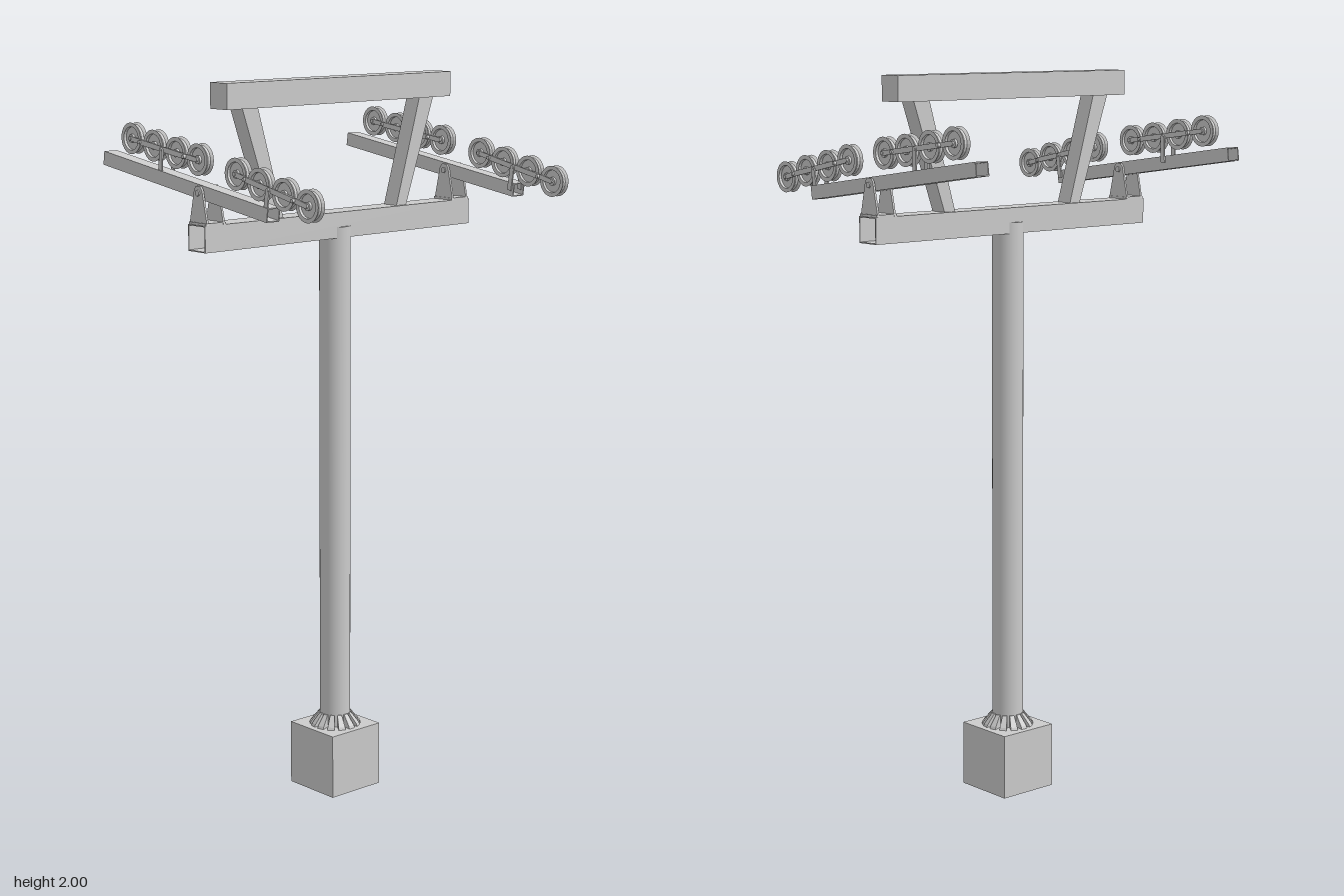
import * as THREE from 'three';

const grey = new THREE.MeshStandardMaterial({ color: 0xcccccc, side: THREE.DoubleSide });
const ZC = -0.01; // depth of the mast axis

function add(parent, name, geometry, x = 0, y = 0, z = 0) {
  const mesh = new THREE.Mesh(geometry, grey);
  mesh.name = name;
  mesh.position.set(x, y, z);
  parent.add(mesh);
  return mesh;
}

function polygon(points) {
  return new THREE.Shape(points.map(([a, b]) => new THREE.Vector2(a, b)));
}

// Extrusion along z, centred on its depth
function slab(shape, depth) {
  const g = new THREE.ExtrudeGeometry(shape, { depth, bevelEnabled: false });
  return g.translate(0, 0, -depth / 2);
}

// Open rectangular tube running along z
function hollowBeam(w, h, length, wall = 0.003) {
  const rect = (a, b) => [[-a, -b], [a, -b], [a, b], [-a, b]];
  const shape = polygon(rect(w / 2, h / 2));
  shape.holes.push(polygon(rect(w / 2 - wall, h / 2 - wall)));
  return slab(shape, length);
}

// Place a z-running geometry between two [z, y] points
function span(parent, name, make, x, [z0, y0], [z1, y1]) {
  const mesh = add(parent, name, make(Math.hypot(z1 - z0, y1 - y0)), x, (y0 + y1) / 2, (z0 + z1) / 2);
  mesh.rotation.x = -Math.atan2(y1 - y0, z1 - z0);
  return mesh;
}

const pinGeometry = (r, length) => new THREE.CylinderGeometry(r, r, length, 12).rotateZ(Math.PI / 2);

// Grooved wheel: hub, recessed web, flanged rim
const wheelProfile = [
  [0.001, -0.011], [0.011, -0.011], [0.011, -0.004], [0.03, -0.004], [0.031, -0.011], [0.042, -0.011],
  [0.037, -0.004], [0.037, 0.004], [0.042, 0.011], [0.031, 0.011], [0.03, 0.004], [0.011, 0.004],
  [0.011, 0.011], [0.001, 0.011],
].map(([r, h]) => new THREE.Vector2(r, h));
const wheelGeometry = new THREE.LatheGeometry(wheelProfile, 24).rotateZ(Math.PI / 2).toNonIndexed();
wheelGeometry.computeVertexNormals();

const lerp = (a, b, t) => [a[0] + (b[0] - a[0]) * t, a[1] + (b[1] - a[1]) * t];

// Four wheels on two small rockers, joined by a larger rocker on a post
function wheelBank(name, wheels, postFoot) {
  const bank = new THREE.Group();
  bank.name = name;
  const plate = (h) => (length) => new THREE.BoxGeometry(0.004, h, length);
  for (const [z, y] of wheels) {
    add(bank, 'wheel', wheelGeometry, 0, y, z);
    add(bank, 'axle', pinGeometry(0.005, 0.032), 0, y, z);
  }
  const mids = [lerp(wheels[0], wheels[1], 0.5), lerp(wheels[2], wheels[3], 0.5)];
  for (const s of [-1, 1]) {
    for (const i of [0, 2]) span(bank, 'pairRocker', plate(0.013), s * 0.0125, wheels[i], wheels[i + 1]);
    span(bank, 'bankRocker', plate(0.014), s * 0.016, mids[0], mids[1]);
    span(bank, 'postPlate', plate(0.014), s * 0.02, postFoot, lerp(mids[0], mids[1], 0.5));
  }
  const centre = lerp(mids[0], mids[1], 0.5);
  for (const [z, y] of [...mids, centre]) add(bank, 'rockerPin', pinGeometry(0.005, 0.046), 0, y, z);
  return bank;
}

function wheelAssembly() {
  const group = new THREE.Group();
  group.name = 'wheelAssembly';

  // Tilted carrier beam
  span(group, 'carrierBeam', (l) => hollowBeam(0.042, 0.037, l), 0.004, [-0.425, 1.783], [0.253, 1.686]);

  // Pivot bracket straddling the beam
  const side = polygon([[-0.036, 1.64], [0.036, 1.64], [0.016, 1.73], [0.008, 1.74], [-0.008, 1.74], [-0.016, 1.73]]);
  for (const s of [-1, 1]) {
    add(group, 'pivotPlate', slab(side, 0.006).rotateY(-Math.PI / 2), 0.004 + s * 0.027, 0, ZC);
  }
  add(group, 'bracketFoot', new THREE.BoxGeometry(0.066, 0.006, 0.07), 0.004, 1.643, ZC);
  add(group, 'pivotPin', pinGeometry(0.008, 0.068), 0.004, 1.722, ZC);

  group.add(wheelBank('frontBank', [[0.388, 1.72], [0.298, 1.741], [0.203, 1.759], [0.113, 1.778]], [0.24, 1.685]));
  group.add(wheelBank('backBank', [[-0.041, 1.804], [-0.131, 1.815], [-0.226, 1.828], [-0.321, 1.841]], [-0.182, 1.75]));
  return group;
}

export function createModel() {
  const model = new THREE.Group();
  model.name = 'liftTower';

  // Footing and mast
  add(model, 'footing', new THREE.BoxGeometry(0.178, 0.18, 0.178), 0, 0.09, ZC);
  add(model, 'mast', new THREE.CylinderGeometry(0.043, 0.043, 1.42, 32), 0, 0.89, ZC);

  // Gussets around the mast foot, wider towards the outside
  const gusset = slab(polygon([[0.04, 0.18], [0.072, 0.18], [0.069, 0.187], [0.046, 0.215], [0.04, 0.215]]), 0.02);
  const p = gusset.attributes.position;
  for (let i = 0; i < p.count; i++) p.setZ(i, p.getZ(i) * p.getX(i) / 0.072);
  gusset.computeVertexNormals();
  const count = 14;
  for (let i = 0; i < count; i++) {
    add(model, 'gusset', gusset, 0, 0, ZC).rotation.y = Math.PI / 2 + (i / count) * Math.PI * 2;
  }

  // Open-ended cross arm and closed upper beam
  add(model, 'crossArm', hollowBeam(0.07, 0.07, 0.96).rotateY(Math.PI / 2), 0, 1.605, ZC);
  add(model, 'upperBeam', new THREE.BoxGeometry(0.805, 0.068, 0.068), 0, 1.966, ZC);

  for (const s of [-1, 1]) {
    // Leaning strut, slightly tapered
    const strut = polygon([[0.205, 1.635], [0.241, 1.635], [0.345, 1.935], [0.292, 1.935]].map(([x, y]) => [s * x, y]));
    add(model, s > 0 ? 'leftStrut' : 'rightStrut', slab(strut, 0.05), 0, 0, ZC);

    const assembly = wheelAssembly();
    assembly.position.x = s * 0.44;
    if (s < 0) assembly.rotation.y = 0;
    // Offset of the beam mirrors outward on each side
    if (s < 0) assembly.scale.x = -1;
    model.add(assembly);
  }
  return model;
}
